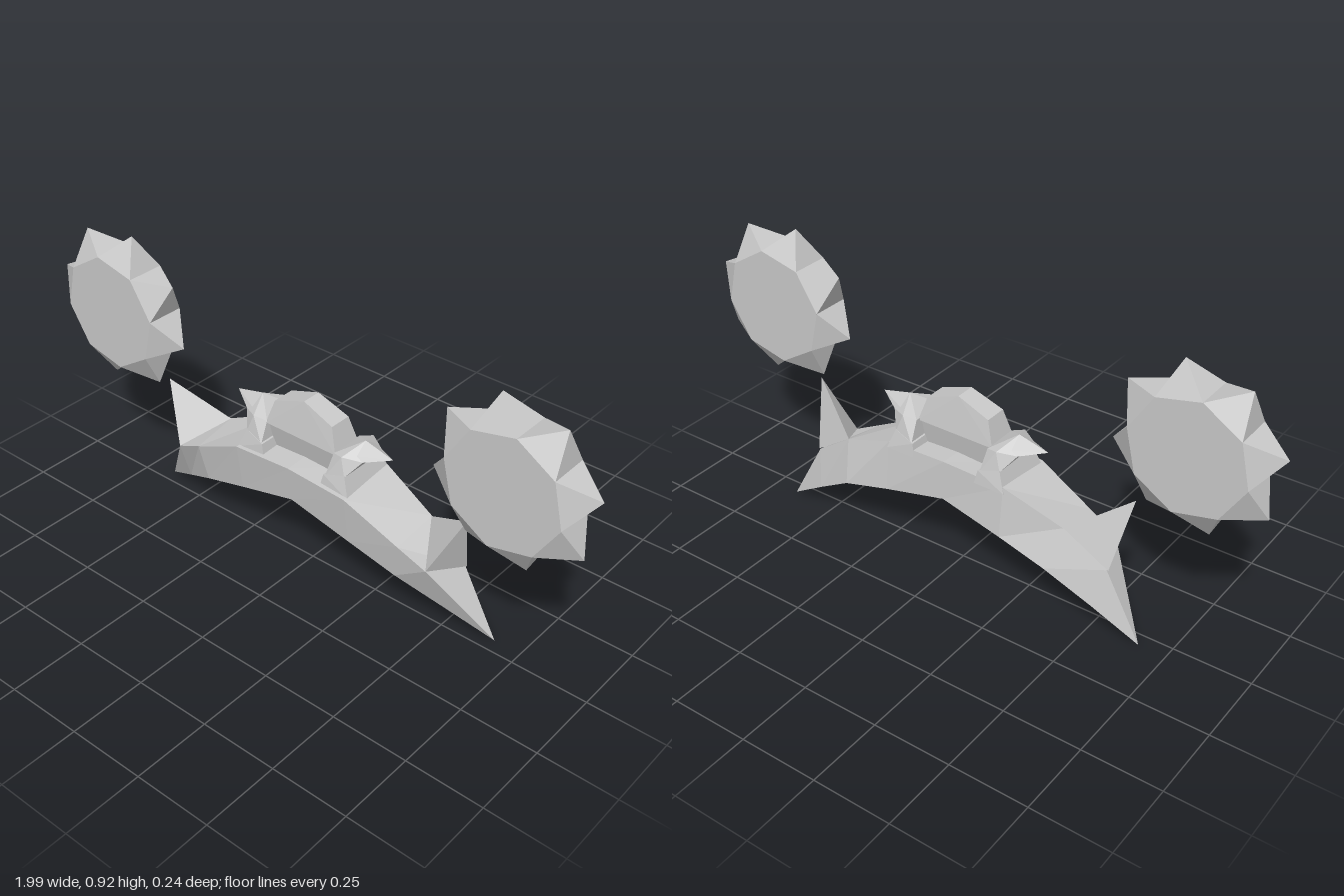
import * as THREE from 'three';
import { ConvexGeometry } from 'three/addons/geometries/ConvexGeometry.js';

const grey = new THREE.MeshStandardMaterial({ color: 0xc8c8c8, flatShading: true });
grey.name = 'grey';

const V = (x, y, z) => new THREE.Vector3(x, y, z);

function addMesh(parent, name, geometry) {
  const mesh = new THREE.Mesh(geometry, grey);
  mesh.name = name;
  parent.add(mesh);
  return mesh;
}

// Convex solid from points, mirrored to the chosen side
function addSolid(parent, name, points, side = 1) {
  return addMesh(parent, name, new ConvexGeometry(points.map(([x, y, z]) => V(x * side, y, z))));
}

// Both signs of z for one point
const pair = (x, y, z) => [[x, y, z], [x, y, -z]];

// Faceted skin through sections of equal length, ordered along +x
function loft(sections) {
  const pos = [];
  const tri = (...p) => {
    const area = p[1].clone().sub(p[0]).cross(p[2].clone().sub(p[0])).length();
    if (area > 1e-7) p.forEach((v) => pos.push(v.x, v.y, v.z));
  };
  for (let i = 0; i < sections.length - 1; i++) {
    const s = sections[i], t = sections[i + 1], n = s.length;
    for (let j = 0; j < n; j++) {
      const k = (j + 1) % n;
      tri(s[j], t[j], t[k]);
      tri(s[j], t[k], s[k]);
    }
  }
  const g = new THREE.BufferGeometry();
  g.setAttribute('position', new THREE.Float32BufferAttribute(pos, 3));
  g.computeVertexNormals();
  return g;
}

// Octagonal hub with a pyramid spike on each edge
function makeWheel(side) {
  const wheel = new THREE.Group();
  wheel.name = side > 0 ? 'leftSpikedWheel' : 'rightSpikedWheel';
  wheel.position.set(0.737 * side, 0.66, 0.054);
  const r = 0.187, tip = 0.267, h = 0.064, start = THREE.MathUtils.degToRad(13);
  const at = (radius, a, z) => V(Math.cos(a) * radius * side, Math.sin(a) * radius, z);
  const hub = [];
  for (let i = 0; i < 8; i++) {
    const a = start + i * Math.PI / 4, b = a - Math.PI / 8, c = a + Math.PI / 8;
    hub.push(at(r, c, h), at(r, c, -h));
    addMesh(wheel, 'spike', new ConvexGeometry(
      [at(r, b, h), at(r, b, -h), at(r, c, h), at(r, c, -h), at(tip, a, 0)]));
  }
  addMesh(wheel, 'hub', new ConvexGeometry(hub));
  return wheel;
}

export function createModel() {
  const model = new THREE.Group();
  model.name = 'wingedCraft';

  // Swept wing: front bottom, front top, back top, back bottom
  const half = [
    [[0.21, 0.223, 0.09], [0.21, 0.385, 0.112], [0.21, 0.4, -0.095], [0.21, 0.235, -0.113]],
    [[0.375, 0.17, 0.074], [0.395, 0.295, 0.093], [0.40, 0.32, -0.065], [0.37, 0.195, -0.118]],
    [[0.517, 0.087, 0.015], [0.49, 0.25, 0.083], [0.54, 0.22, -0.045], [0.515, 0.1, -0.08]],
    Array(4).fill([0.66, 0.002, -0.045]),
  ];
  const centre = [[0, 0.28, 0.1], [0, 0.4, 0.114], [0, 0.41, -0.1], [0, 0.28, -0.105]];
  const place = (s, side) => s.map(([x, y, z]) => V(x * side, y, z));
  addMesh(model, 'wing', loft([
    ...[...half].reverse().map((s) => place(s, -1)),
    place(centre, 1),
    ...half.map((s) => place(s, 1)),
  ]));

  // Canopy with an undercut base
  addSolid(model, 'canopy', [1, -1].flatMap((s) => [
    [0.135 * s, 0.48, 0.06], [0.135 * s, 0.48, -0.045],
    [0.11 * s, 0.56, 0.045], [0.11 * s, 0.56, -0.03],
  ]).concat([[0, 0.6, 0.04], [0, 0.6, -0.025]]));
  addSolid(model, 'canopyBase', [1, -1].flatMap((s) => [
    [0.125 * s, 0.48, 0.055], [0.125 * s, 0.48, -0.04],
    [0.12 * s, 0.39, 0.035], [0.12 * s, 0.39, -0.025],
  ]));

  for (const side of [1, -1]) {
    const name = side > 0 ? 'left' : 'right';

    // Shoulder collar and flared horn beside the canopy
    addSolid(model, name + 'Collar', [
      ...pair(0.11, 0.38, 0.1), ...pair(0.215, 0.38, 0.1),
      ...pair(0.12, 0.425, 0.095), ...pair(0.19, 0.445, 0.085),
    ], side);
    addSolid(model, name + 'HornBase', [
      ...pair(0.125, 0.42, 0.094), ...pair(0.19, 0.44, 0.085),
      ...pair(0.13, 0.487, 0.06), ...pair(0.17, 0.497, 0.075),
      ...pair(0.225, 0.487, 0.045), [0.2, 0.53, 0],
    ], side);
    addSolid(model, name + 'HornTip', [
      ...pair(0.225, 0.487, 0.045), ...pair(0.17, 0.497, 0.06),
      [0.2, 0.53, 0], [0.3, 0.505, 0],
    ], side);

    // Upright spike near the wing end
    addSolid(model, name + 'WingSpike', [
      [0.49, 0.25, 0.083], [0.545, 0.22, -0.045], [0.4, 0.32, -0.063], [0.58, 0.44, 0.025],
    ], side);

    model.add(makeWheel(side));
  }
  return model;
}
